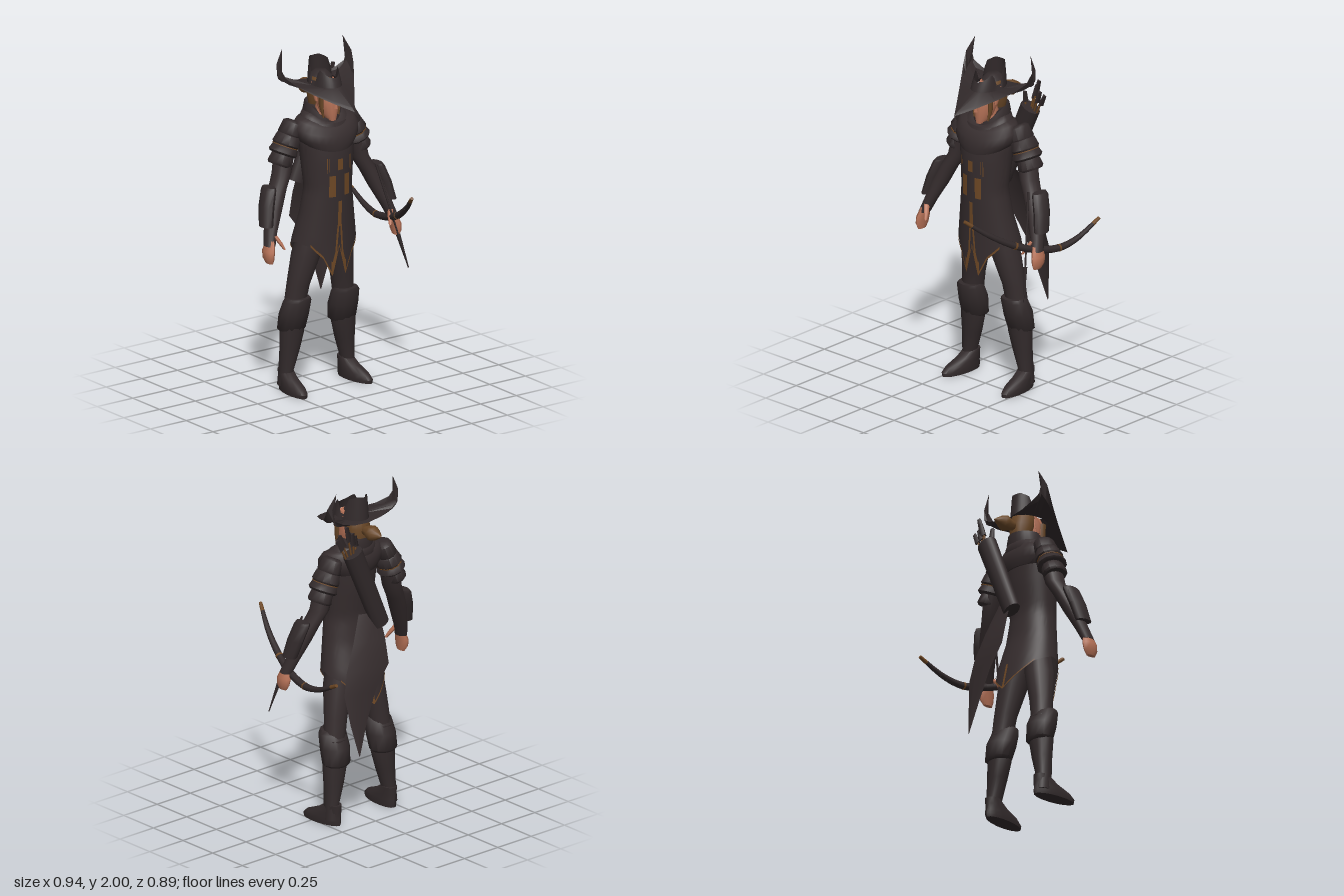
import * as THREE from 'three';
import { toCreasedNormals } from 'three/addons/utils/BufferGeometryUtils.js';

const mat = (name, color, side = THREE.FrontSide) => {
  const m = new THREE.MeshStandardMaterial({ color, side });
  m.name = name;
  return m;
};

export function createModel() {
  const cloth = mat('dark cloth', 0x362d2e, THREE.DoubleSide);
  const leather = mat('dark leather', 0x322a2b, THREE.DoubleSide);
  const skin = mat('skin', 0xb87358);
  const trim = mat('brown trim', 0x6e4825, THREE.DoubleSide);
  const hairMat = mat('brown hair', 0x694727);
  const root = new THREE.Group();
  root.name = 'archer';
  const body = new THREE.Group();
  body.name = 'body';
  body.position.x = -0.006;
  root.add(body);

  const add = (name, geo, material, parent = body) => {
    const m = new THREE.Mesh(geo, material);
    m.name = name;
    parent.add(m);
    return m;
  };
  const V = (x, y, z) => new THREE.Vector3(x, y, z);
  const build = (pos, idx, crease = 0.9) => {
    const g = new THREE.BufferGeometry();
    g.setAttribute('position', new THREE.Float32BufferAttribute(pos, 3));
    g.setIndex(idx);
    return toCreasedNormals(g, crease);
  };
  // Capped loft through level ellipses [y, cx, cz, rx, rz], listed from top to bottom; droop lowers the front
  const loft = (rings, s = 1, droop = 0, n = 16) => {
    const pos = [], idx = [], last = rings.length - 1;
    for (const [y, cx, cz, rx, rz] of rings)
      for (let i = 0; i < n; i++) {
        const a = i / n * Math.PI * 2, c = Math.cos(a);
        pos.push(cx * s + rx * Math.sin(a), y - droop * Math.max(0, c) ** 1.5, cz + rz * c);
      }
    for (let r = 0; r < last; r++)
      for (let i = 0; i < n; i++) {
        const j = (i + 1) % n, t = r * n, b = t + n;
        idx.push(b + i, b + j, t + j, b + i, t + j, t + i);
      }
    for (const r of [0, last]) {
      const k = pos.length / 3;
      pos.push(rings[r][1] * s, rings[r][0] - droop * 0.4, rings[r][2]);
      for (let i = 0; i < n; i++) {
        const p = r * n + i, q = r * n + (i + 1) % n;
        idx.push(...(r ? [k, q, p] : [k, p, q]));
      }
    }
    return build(pos, idx);
  };
  // Open sheet through rows of points
  const sheet = (rows, crease = 0.6) => {
    const w = rows[0].length, idx = [];
    for (let r = 0; r < rows.length - 1; r++)
      for (let i = 0; i < w - 1; i++) {
        const t = r * w + i, b = t + w;
        idx.push(b, b + 1, t + 1, b, t + 1, t);
      }
    return build(rows.flat(2), idx, crease);
  };
  const table = (rows, x) => {
    let i = 0;
    while (i < rows.length - 2 && x > rows[i + 1][0]) i++;
    const a = rows[i], b = rows[i + 1], t = THREE.MathUtils.clamp((x - a[0]) / (b[0] - a[0]), 0, 1);
    return a.slice(1).map((v, k) => v + (b[k + 1] - v) * t);
  };
  const rod = (name, a, b, ra, rb, material, parent = body, sides = 8) => {
    const m = add(name, new THREE.CylinderGeometry(rb, ra, a.distanceTo(b), sides), material, parent);
    m.position.copy(a).lerp(b, 0.5);
    m.quaternion.setFromUnitVectors(V(0, 1, 0), b.clone().sub(a).normalize());
    return m;
  };

  // Coat: half width, front z and back z by height, with a pointed hem
  const profile = [[0.7, 0.2, 0.1, -0.23], [0.88, 0.2, 0.1, -0.19], [1.05, 0.168, 0.105, -0.14],
    [1.2, 0.146, 0.11, -0.12], [1.38, 0.162, 0.112, -0.145], [1.5, 0.175, 0.1, -0.15], [1.58, 0.14, 0.07, -0.14]];
  const hem = [[0, 0.86], [0.08, 0.8], [0.22, 0.69], [0.5, 0.8], [0.9, 0.87], [1.5, 0.89], [2.2, 0.85], [3.14, 0.7]];
  const coatPoint = (a, y, off) => {
    const [rx, f, b] = table(profile, y);
    return [(rx + off) * Math.sin(a), y, (f + b) / 2 + ((f - b) / 2 + off) * Math.cos(a)];
  };
  const coatPart = (a0, a1, t0, t1, off, na, nt) => {
    const rows = [];
    for (let r = 0; r <= nt; r++) {
      const row = [], t = t0 + (t1 - t0) * r / nt;
      for (let i = 0; i <= na; i++) {
        const a = a0 + (a1 - a0) * i / na;
        const h = table(hem, Math.min(Math.abs(a), Math.PI * 2 - Math.abs(a)))[0];
        row.push(coatPoint(a, 1.58 + (h - 1.58) * t, off));
      }
      rows.push(row);
    }
    return sheet(rows, 1);
  };
  add('coat', coatPart(0, Math.PI * 2, 0, 1, 0, 90, 20), cloth);
  add('frontHemTrim', coatPart(-0.9, 0.9, 0.98, 1, 0.004, 40, 1), trim);
  for (const s of [-1, 1])
    add('frontSlitTrim', coatPart(s * 0.16 - 0.09, s * 0.16 + 0.09, 0.91, 1, 0.005, 8, 2), trim);
  add('backHemTrim', coatPart(2.2, 4.08, 0.988, 1, 0.004, 30, 1), trim);
  add('backPointTrim', coatPart(3.1, 3.18, 0.82, 1, 0.004, 4, 6), trim);
  // Thin plates on the coat front; flare shifts the lower end sideways
  const patch = (name, x0, x1, y0, y1, flare = 0) => {
    const rows = [0, 0.5, 1].map(t => [0, 1, 2].map(i => {
      const y = y1 + (y0 - y1) * t, x = x0 + (x1 - x0) * i / 2 + flare * t;
      return coatPoint(Math.asin(x / table(profile, y)[0]), y, 0.005);
    }));
    add(name, sheet(rows), trim);
  };
  patch('chestClasp', -0.019, 0.015, 1.315, 1.38);
  patch('centreStripe', -0.012, 0.012, 0.98, 1.13);
  for (const s of [-1, 1]) {
    patch('splitStripe', s * 0.009 - 0.006, s * 0.009 + 0.006, 0.82, 0.99, s * 0.013);
    patch('coatPanel', s * 0.048 - 0.019, s * 0.048 + 0.019, 1.16, 1.285);
    patch('thinStripe', s * 0.078 - 0.002, s * 0.078 + 0.002, 1.3, 1.39);
    patch('innerStripe', s * 0.066 - 0.0015, s * 0.066 + 0.0015, 1.31, 1.39);
  }

  // Long tail hanging behind one hip
  add('coatTail', sheet([[1.25, -0.05, 0.08, -0.19], [1.1, -0.06, 0.15, -0.225], [0.95, -0.06, 0.22, -0.248],
    [0.82, 0.04, 0.25, -0.262], [0.64, 0.12, 0.225, -0.288], [0.46, 0.185, 0.19, -0.32]]
    .map(([y, a, b, z]) => [[b, y, z], [a * 0.4 + b * 0.6, y, z - 0.04 * (b - a) / 0.25], [a, y, z - 0.035 * (b - a) / 0.25]])), cloth);

  // Cowl and collar
  add('cowl', loft([[1.615, 0, -0.04, 0.12, 0.1], [1.6, 0, -0.035, 0.18, 0.12], [1.56, 0, -0.03, 0.208, 0.14],
    [1.51, 0, -0.025, 0.2, 0.145], [1.47, 0, -0.02, 0.168, 0.135]], 1, 0.045, 28), cloth);
  add('cowlFold', loft([[1.64, 0, -0.05, 0.1, 0.09], [1.625, 0, -0.045, 0.13, 0.115], [1.58, 0, -0.04, 0.155, 0.125],
    [1.55, 0, -0.04, 0.14, 0.11]], 1, 0.06, 28), cloth);
  add('collar', loft([[1.66, 0, -0.06, 0.08, 0.08], [1.685, 0, -0.06, 0.098, 0.1], [1.64, 0, -0.06, 0.11, 0.105],
    [1.58, 0, -0.05, 0.105, 0.1]], 1, 0.09, 24), cloth);

  // Head, ears, hair and ponytail
  add('face', loft([[1.81, 0, -0.02, 0.045, 0.06], [1.76, 0, -0.015, 0.064, 0.076], [1.69, 0, -0.01, 0.062, 0.078],
    [1.63, 0, 0, 0.045, 0.065], [1.59, 0, 0.03, 0.022, 0.03]]), skin);
  add('neck', loft([[1.68, 0, -0.04, 0.045, 0.05], [1.54, 0, -0.05, 0.05, 0.055]]), skin);
  add('nose', new THREE.ConeGeometry(0.014, 0.05, 4), skin).position.set(0, 1.69, 0.072);
  add('hair', loft([[1.83, 0, -0.07, 0.045, 0.05], [1.8, 0, -0.08, 0.064, 0.064], [1.74, 0, -0.09, 0.073, 0.072],
    [1.66, 0, -0.1, 0.055, 0.05]]), hairMat);
  add('hatLining', loft([[1.86, 0, -0.07, 0.03, 0.035], [1.83, 0, -0.072, 0.06, 0.072]]), leather);
  for (const s of [-1, 1]) {
    add('ear', loft([[1.805, 0.074, -0.055, 0.003, 0.008], [1.755, 0.073, -0.035, 0.009, 0.022],
      [1.7, 0.066, -0.025, 0.006, 0.012]], s, 0, 8), skin);
    add('sideLock', loft([[1.77, 0.062, 0.015, 0.01, 0.02], [1.68, 0.061, 0.015, 0.01, 0.018],
      [1.61, 0.053, 0.025, 0.004, 0.008]], s, 0, 8), hairMat);
  }
  add('ponytail', new THREE.LatheGeometry([[0, 0], [0.025, 0], [0.028, 0.03], [0.046, 0.075],
    [0.04, 0.1], [0.016, 0.14], [0, 0.16]].map(p => new THREE.Vector2(...p)), 10).rotateX(-Math.PI / 2), hairMat)
    .position.set(0, 1.73, -0.135);

  // Hat brim: rim points [x, y, z, matching angle on the crown], mirrored
  const half = [[0, 1.69, 0.25, 0], [0.07, 1.725, 0.153, 0.4], [0.14, 1.765, 0.056, 0.8], [0.2, 1.805, -0.027, 1.1],
    [0.24, 1.85, -0.085, 1.4], [0.252, 1.91, -0.12, 1.6], [0.212, 2, -0.15, 1.8], [0.247, 1.915, -0.155, 1.9],
    [0.235, 1.845, -0.165, 2], [0.18, 1.815, -0.172, 2.3], [0.1, 1.79, -0.175, 2.7], [0, 1.78, -0.175, Math.PI]];
  const rim = [...half.slice(1).reverse().map(([x, y, z, a]) => [-x, y, z, -a]), ...half];
  const inner = a => [0.083 * Math.sin(a), 1.79, -0.035 + 0.12 * Math.cos(a)];
  // The horns rise steeply from a fold just inside the rim
  const mid = ([x, y, z, a]) => {
    const p = inner(a), dy = y - p[1], k = 0.85;
    return [dy > 0.1 ? Math.sign(x) * 0.235 : p[0] + (x - p[0]) * k,
      p[1] + dy * (dy > 0 ? 0.28 : 0.8), p[2] + (z - p[2]) * (dy > 0.1 ? 0.97 : k)];
  };
  add('hatBrim', sheet([rim.map(p => inner(p[3])), rim.map(mid), rim.map(p => p.slice(0, 3))], 0.5), leather);
  // Crown: open at the top with a notch on each side
  const crownTop = [[0, 1.84], [0.5, 1.85], [1.2, 1.89], [1.35, 1.815], [1.75, 1.815], [1.95, 1.91], [2.6, 1.93], [3.15, 1.925]];
  const crown = [[], [], []];
  for (let i = 0; i <= 40; i++) {
    const a = -Math.PI + i / 40 * Math.PI * 2, p = inner(a), y = table(crownTop, Math.abs(a))[0];
    crown[0].push([p[0] * 0.84, y, p[2] * 0.86 - 0.012]);
    crown[1].push([p[0] * 0.93, (y + 1.79) / 2, p[2] * 0.94 - 0.005]);
    crown[2].push(p);
  }
  add('hatCrown', sheet(crown, 1), leather);

  for (const s of [-1, 1]) {
    // Arm, bracer and hand
    add('arm', loft([[1.55, 0.195, -0.08, 0.05, 0.06], [1.42, 0.245, -0.085, 0.057, 0.063],
      [1.3, 0.272, -0.075, 0.052, 0.06], [1.22, 0.315, -0.055, 0.05, 0.055], [1.12, 0.36, -0.03, 0.05, 0.05],
      [1.0, 0.408, 0.005, 0.036, 0.042], [0.93, 0.432, 0.028, 0.03, 0.04]], s), cloth);
    add('bracer', loft([[1.245, 0.375, -0.052, 0.028, 0.05], [1.23, 0.38, -0.05, 0.034, 0.056],
      [1.14, 0.41, -0.03, 0.037, 0.056], [1.035, 0.432, -0.005, 0.034, 0.05]], s, 0, 10), leather);
    add('hand', loft([[0.96, 0.425, 0.028, 0.022, 0.032], [0.9, 0.442, 0.032, 0.026, 0.05],
      [0.86, 0.445, 0.036, 0.023, 0.047], [0.83, 0.442, 0.04, 0.014, 0.03]], s, 0, 10), skin);
    add('thumb', loft([[0.985, 0.405, 0.04, 0.014, 0.018], [0.945, 0.385, 0.065, 0.013, 0.016],
      [0.91, 0.37, 0.085, 0.007, 0.009]], s, 0, 8), skin);

    // Layered, flared shoulder guard
    const guard = new THREE.Group();
    guard.name = 'shoulderGuard';
    guard.position.set(s * 0.205, 1.53, -0.085);
    guard.rotation.z = s * 0.41;
    body.add(guard);
    [[0.065, -0.025, 0.062, 0.076], [-0.01, -0.085, 0.077, 0.086], [-0.075, -0.135, 0.082, 0.09], [-0.12, -0.2, 0.066, 0.076]].forEach(([t, b, rx, rz]) =>
      add('guardPlate', loft([[t, 0, 0, rx * 0.6, rz * 0.6], [t - 0.012, 0, 0, rx * 0.84, rz * 0.86],
        [b + 0.012, 0, 0, rx, rz], [b, 0, 0, rx * 0.88, rz * 0.88]], 1, 0, 12), leather, guard));
    add('guardTrim', loft([[-0.083, 0, 0, 0.071, 0.081], [-0.088, 0, 0, 0.071, 0.081]], 1, 0, 12), trim, guard);

    // Leg, boot, cuff and foot
    add('leg', loft([[0.98, 0.075, -0.04, 0.075, 0.075], [0.8, 0.115, -0.055, 0.084, 0.085],
      [0.62, 0.153, -0.078, 0.068, 0.064], [0.5, 0.17, -0.088, 0.062, 0.06]], s), cloth);
    add('boot', loft([[0.5, 0.172, -0.09, 0.07, 0.065], [0.34, 0.18, -0.1, 0.074, 0.062],
      [0.24, 0.192, -0.105, 0.06, 0.055], [0.12, 0.213, -0.11, 0.04, 0.048], [0.03, 0.215, -0.115, 0.042, 0.052]], s), leather);
    add('bootCuff', loft([[0.55, 0.165, -0.058, 0.07, 0.062], [0.53, 0.168, -0.066, 0.083, 0.073],
      [0.45, 0.172, -0.092, 0.087, 0.085], [0.36, 0.176, -0.11, 0.085, 0.072], [0.345, 0.176, -0.11, 0.07, 0.06]], s, 0, 12), leather);
    const foot = add('foot', loft([[0.12, 0, -0.01, 0.041, 0.05], [0.08, 0, 0.02, 0.045, 0.08],
      [0.045, 0, 0.063, 0.049, 0.122], [0.02, 0, 0.075, 0.05, 0.137], [0, 0, 0.075, 0.047, 0.133]]), leather);
    foot.position.set(s * 0.21, 0, -0.113);
    foot.rotation.y = s * 0.1;
  }

  // Quiver slung across the back, with fanned arrows
  const q0 = V(-0.06, 1.17, -0.215), q1 = V(0.15, 1.65, -0.218);
  rod('quiver', q0, q1, 0.056, 0.063, leather, body, 12).scale.z = 0.75;
  [[0.12, 1.74, -0.2], [0.175, 1.78, -0.24], [0.205, 1.82, -0.225], [0.235, 1.77, -0.2], [0.26, 1.75, -0.21]].forEach(([x, y, z], i) => {
    const a = V(0.12 + i * 0.014, 1.58, -0.218), b = V(x, y, z);
    rod('arrowShaft', a, b, 0.006, 0.006, trim, body, 5);
    rod('arrowFletching', a.clone().lerp(b, 0.62), b.clone().lerp(a, -0.01), 0.019, 0.014, cloth, body, 3);
  });

  // Bow: tapered rods along a curve, brown at the tips
  const bow = new THREE.Group();
  bow.name = 'bow';
  root.add(bow);
  const curve = new THREE.CatmullRomCurve3([V(0.25, 1.18, 0.44), V(0.315, 1.07, 0.3), V(0.37, 0.975, 0.14),
    V(0.41, 0.925, 0), V(0.435, 0.9, -0.15), V(0.45, 0.925, -0.28), V(0.462, 1.0, -0.44)]);
  const radius = t => 0.01 + 0.012 * Math.sin(Math.PI * t);
  for (let i = 0; i < 20; i++) {
    const t = i / 20, u = (i + 1) / 20;
    rod('bowLimb', curve.getPoint(t), curve.getPoint(u), radius(t), radius(u),
      i < 1 || i > 18 ? trim : leather, bow);
  }
  for (const t of [0.32, 0.65])
    rod('bowBinding', curve.getPoint(t), curve.getPoint(t + 0.012), 0.022, 0.022, trim, bow);

  // Arrow held in the bow hand
  const a0 = V(0.33, 1.25, 0), a1 = V(0.44, 0.66, 0.155);
  rod('heldArrow', a0, a1, 0.007, 0.004, leather, root, 6);
  rod('heldArrowHead', a0.clone().lerp(a1, 0.68), a1, 0.013, 0.003, leather, root, 4);
  return root;
}
